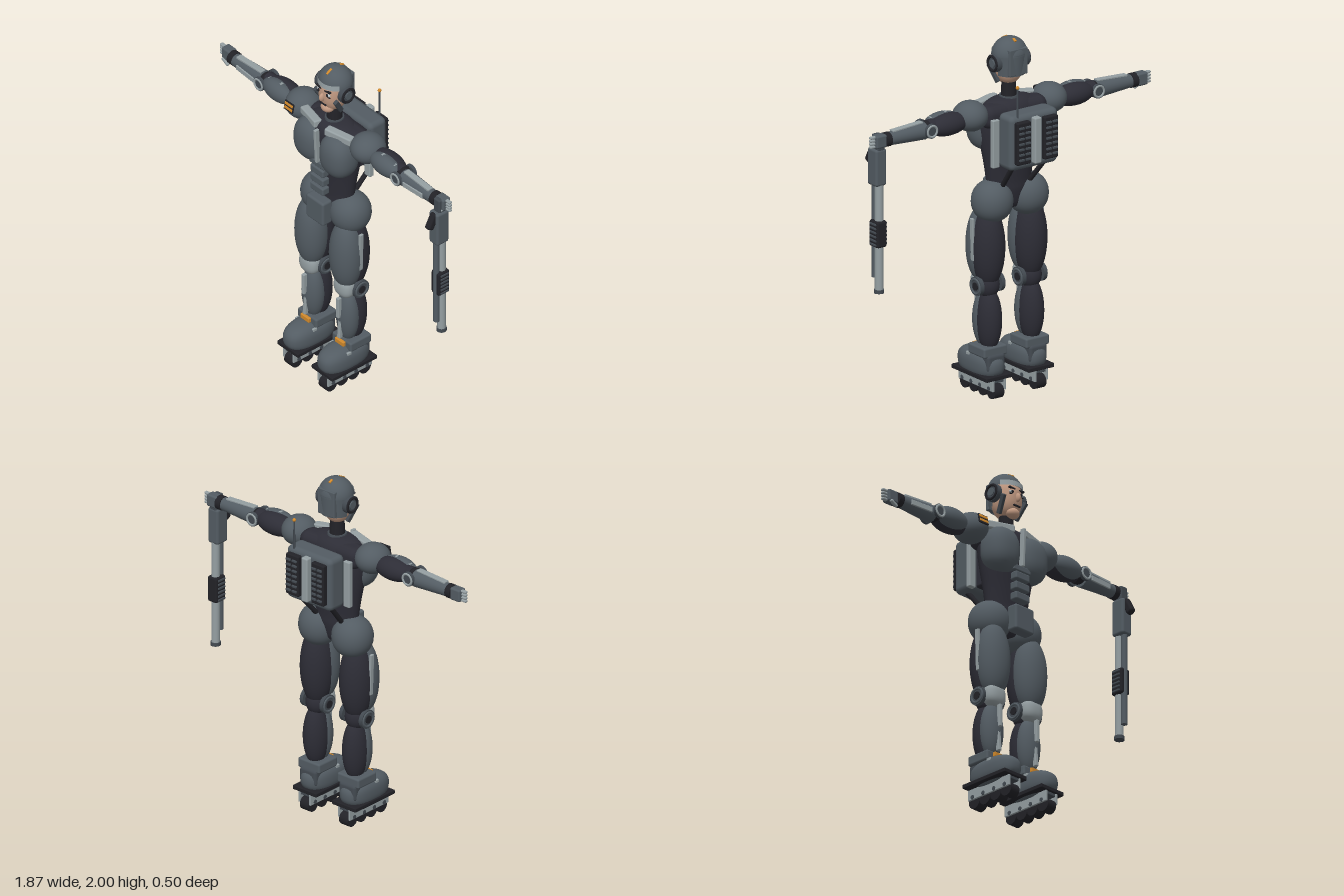
import * as THREE from 'three';
import { mergeVertices } from 'three/addons/utils/BufferGeometryUtils.js';
import { RoundedBoxGeometry } from 'three/addons/geometries/RoundedBoxGeometry.js';

const mat = (name, color, side = THREE.FrontSide) => {
  const m = new THREE.MeshStandardMaterial({ color, side });
  m.name = name;
  return m;
};

export function createModel() {
  const root = new THREE.Group();
  root.name = 'armouredSkater';
  const armour = mat('armour grey', 0x535c63, THREE.DoubleSide);
  const light = mat('light metal', 0x959fa2, THREE.DoubleSide);
  const suit = mat('dark suit', 0x2d2d36);
  const black = mat('black rubber', 0x222227);
  const joint = mat('joint grey', 0x434a51);
  const skin = mat('skin', 0xc29a82);
  const orange = mat('orange', 0xd28a2c);
  const eyeWhite = mat('eye white', 0xb9c4c8);

  // Helpers: placed mesh, rounded box, superellipsoid, cylinder along an axis, rod between points
  const add = (name, geo, m, x = 0, y = 0, z = 0, rx = 0, ry = 0, rz = 0) => {
    const mesh = new THREE.Mesh(geo, m);
    mesh.name = name;
    mesh.position.set(x, y, z);
    mesh.rotation.set(rx, ry, rz);
    root.add(mesh);
    return mesh;
  };
  const box = (name, m, w, h, d, x, y, z, rx = 0, ry = 0, rz = 0, r = 0.2) =>
    add(name, new RoundedBoxGeometry(w, h, d, 2, Math.min(w, h, d) * r), m, x, y, z, rx, ry, rz);
  const ell = (name, m, a, b, c, x, y, z, p = 2, rz = 0) => {
    let g = new THREE.SphereGeometry(1, 32, 22);
    g.deleteAttribute('uv');
    g.deleteAttribute('normal');
    g = mergeVertices(g, 1e-4);
    const q = g.attributes.position, v = new THREE.Vector3();
    for (let i = 0; i < q.count; i++) {
      v.fromBufferAttribute(q, i);
      const k = (Math.abs(v.x) ** p + Math.abs(v.y) ** p + Math.abs(v.z) ** p) ** (-1 / p);
      q.setXYZ(i, v.x * k * a, v.y * k * b, v.z * k * c);
    }
    g.computeVertexNormals();
    return add(name, g, m, x, y, z, 0, 0, rz);
  };
  const cyl = (name, m, r1, r2, h, x, y, z, axis = 'y', n = 24) => {
    const g = new THREE.CylinderGeometry(r1, r2, h, n);
    if (axis === 'x') g.rotateZ(-Math.PI / 2);
    if (axis === 'z') g.rotateX(Math.PI / 2);
    return add(name, g, m, x, y, z);
  };
  const rod = (name, m, r, a, b) => {
    const p = new THREE.Vector3(...a), q = new THREE.Vector3(...b), d = q.clone().sub(p);
    const mesh = cyl(name, m, r, r, d.length(), ...p.clone().add(q).multiplyScalar(0.5).toArray(), 'y', 12);
    mesh.quaternion.setFromUnitVectors(new THREE.Vector3(0, 1, 0), d.normalize());
  };

  // Torso: a lathe flattened front to back
  const profile = [[0, 1.04], [0.09, 1.05], [0.135, 1.14], [0.14, 1.2], [0.155, 1.3], [0.175, 1.4],
    [0.19, 1.5], [0.19, 1.58], [0.165, 1.63], [0.1, 1.66], [0, 1.665]];
  const torso = add('torso', new THREE.LatheGeometry(
    new THREE.SplineCurve(profile.map(p => new THREE.Vector2(...p))).getPoints(36)
      .map(p => new THREE.Vector2(Math.max(p.x, 0), p.y)), 36), suit, 0, 0, 0.03);
  torso.scale.z = 0.56;
  box('shoulderYoke', suit, 0.42, 0.13, 0.13, 0, 1.585, 0.0, 0, 0, 0, 0.4);
  cyl('neck', black, 0.038, 0.045, 0.14, 0, 1.695, 0.03);
  cyl('neckRing', joint, 0.052, 0.06, 0.03, 0, 1.655, 0.03);
  box('sternumStrip', light, 0.018, 0.22, 0.03, 0, 1.53, 0.155, 0.05);
  [1.36, 1.3, 1.24].forEach(y => box('abdomenPlate', armour, 0.105, 0.046, 0.05, 0, y, 0.135));
  box('abdomenTop', armour, 0.13, 0.035, 0.05, 0, 1.405, 0.13);
  box('groinPlate', armour, 0.14, 0.15, 0.07, 0, 1.105, 0.14);

  // Head: face, helmet shell and its fittings
  ell('face', skin, 0.076, 0.115, 0.083, 0, 1.85, 0.035, 2.3);
  ell('chin', skin, 0.04, 0.03, 0.035, 0, 1.757, 0.08);
  ell('nose', skin, 0.013, 0.026, 0.02, 0, 1.838, 0.118);
  box('mouth', black, 0.05, 0.009, 0.008, 0, 1.792, 0.112);
  const dome = add('helmetDome', new THREE.SphereGeometry(1, 32, 12, 0, Math.PI * 2, 0, Math.PI / 2), armour, 0, 1.905, 0.022);
  dome.scale.set(0.098, 0.095, 0.093);
  add('helmetBack', new THREE.CylinderGeometry(0.093, 0.085, 0.12, 24, 1, true, Math.PI - 1.45, 2.9), armour, 0, 1.855, 0.022);
  box('helmetBackPlate', armour, 0.12, 0.15, 0.025, 0, 1.875, -0.05);
  add('helmetBrim', new THREE.CylinderGeometry(0.097, 0.1, 0.03, 24, 1, true, -1.05, 2.1), light, 0, 1.918, 0.02);
  box('crestFront', orange, 0.014, 0.008, 0.04, 0, 1.985, 0.068, 0.5);
  box('crestBack', orange, 0.014, 0.008, 0.025, 0, 1.99, -0.022, -0.45);

  // Backpack with vents, spine and antenna
  box('backpack', armour, 0.32, 0.31, 0.125, 0, 1.475, -0.145, 0, 0, 0, 0.25);
  box('packMount', suit, 0.22, 0.26, 0.06, 0, 1.47, -0.07);
  box('packSpine', light, 0.045, 0.26, 0.05, 0, 1.48, -0.215);
  cyl('antenna', joint, 0.005, 0.006, 0.19, 0.108, 1.69, -0.195, 'y', 8);
  ell('antennaTip', orange, 0.01, 0.01, 0.01, 0.108, 1.788, -0.195);

  for (const s of [-1, 1]) {
    // Chest and hips
    ell('chestPlate', armour, 0.106, 0.13, 0.095, s * 0.105, 1.5, 0.09, 2.4);
    box('collarBar', light, 0.17, 0.045, 0.05, s * 0.115, 1.632, 0.095, 0, s * 0.25, s * -0.05);
    ell('hip', armour, 0.113, 0.118, 0.112, s * 0.118, 1.095, 0.02, 2.1);
    box('backStrap', light, 0.045, 0.27, 0.03, s * 0.165, 1.45, -0.07);
    box('vent', black, 0.09, 0.24, 0.04, s * 0.09, 1.48, -0.215);
    for (let i = 0; i < 7; i++) for (const k of [-1, 1])
      box('ventRib', joint, 0.032, 0.012, 0.014, s * 0.09 + k * 0.021, 1.39 + i * 0.03, -0.238);
    rod('packStrut', black, 0.014, [s * 0.11, 1.35, -0.17], [s * 0.09, 1.18, -0.03]);

    // Face details and ear covers
    ell('eye', eyeWhite, 0.019, 0.009, 0.008, s * 0.034, 1.866, 0.107);
    ell('pupil', black, 0.008, 0.009, 0.005, s * 0.034, 1.866, 0.113);
    box('brow', black, 0.044, 0.01, 0.014, s * 0.034, 1.888, 0.108, 0, 0, s * 0.1);
    box('lowerLid', black, 0.036, 0.005, 0.008, s * 0.034, 1.853, 0.108);
    cyl('earCover', joint, 0.05, 0.05, 0.03, s * 0.094, 1.865, 0.028, 'x');
    add('earRing', new THREE.TorusGeometry(0.04, 0.008, 8, 24), black, s * 0.109, 1.865, 0.028, 0, Math.PI / 2);
    cyl('earHub', armour, 0.022, 0.022, 0.014, s * 0.108, 1.865, 0.028, 'x');
    box('jawStrap', joint, 0.02, 0.11, 0.028, s * 0.074, 1.795, 0.068, 0.55, 0, s * -0.18);

    // Shoulder and upper arm
    ell('shoulder', armour, 0.096, 0.084, 0.1, s * 0.262, 1.603, 0.022);
    cyl('upperArmCore', suit, 0.045, 0.045, 0.34, s * 0.38, 1.593, 0.02, 'x');
    ell('upperArm', suit, 0.13, 0.062, 0.068, s * 0.42, 1.59, 0.015);
    ell('upperArmPlate', armour, 0.115, 0.06, 0.055, s * 0.435, 1.596, 0.047);
    box('upperArmStrip', light, 0.11, 0.014, 0.022, s * 0.46, 1.642, 0.045, 0, 0, s * -0.15);

    // Elbow and forearm
    ell('elbow', black, 0.04, 0.045, 0.05, s * 0.553, 1.588, 0.025);
    for (const z of [-0.025, 0.078]) {
      cyl('elbowDisc', joint, 0.04, 0.04, 0.018, s * 0.555, 1.588, z, 'z');
      add('elbowRing', new THREE.TorusGeometry(0.031, 0.007, 8, 24), light, s * 0.555, 1.588, z + Math.sign(z) * 0.008);
    }
    const fore = cyl('forearm', armour, 0.036, 0.05, 0.24, s * 0.69, 1.582, 0.027, 'x');
    if (s < 0) fore.rotation.y = Math.PI;
    box('forearmTopPlate', light, 0.2, 0.016, 0.035, s * 0.68, 1.623, 0.03, 0, 0, s * -0.055);
    box('forearmFrontPlate', light, 0.15, 0.03, 0.016, s * 0.68, 1.58, 0.067, 0, s * 0.06);
    cyl('wristCuff', black, 0.04, 0.04, 0.035, s * 0.82, 1.583, 0.025, 'x');

    // Hand with fingers and thumb
    box('palm', armour, 0.07, 0.072, 0.055, s * 0.868, 1.585, 0.02);
    for (let i = 0; i < 4; i++)
      box('finger', light, 0.042, 0.014, 0.022, s * 0.912, 1.559 + i * 0.0175, 0.02, 0, 0, 0, 0.4);
    box('thumb', light, 0.055, 0.018, 0.02, s * 0.868, 1.542, 0.045, 0, 0, s * 0.5, 0.4);

    // Thigh and knee
    const x = s * 0.14;
    ell('thigh', suit, 0.092, 0.235, 0.098, x, 0.84, 0.028);
    ell('thighPlate', armour, 0.097, 0.22, 0.088, x, 0.845, 0.07, 2.1);
    box('thighStripe', light, 0.016, 0.24, 0.025, s * 0.229, 0.89, 0.045, 0, 0, s * -0.03);
    ell('kneeCore', suit, 0.062, 0.075, 0.062, x, 0.625, 0.025);
    ell('kneePad', light, 0.066, 0.068, 0.05, x, 0.635, 0.078, 2.5);
    for (const k of [-1, 1]) {
      cyl('kneeDisc', joint, 0.053, 0.053, 0.022, x + k * 0.07, 0.627, 0.03, 'x');
      add('kneeRing', new THREE.TorusGeometry(0.04, 0.007, 8, 24), armour, x + k * 0.08, 0.627, 0.03, 0, Math.PI / 2);
      cyl('kneeHub', black, 0.022, 0.022, 0.012, x + k * 0.08, 0.627, 0.03, 'x');
    }

    // Shin
    ell('calf', suit, 0.067, 0.18, 0.078, x, 0.43, 0.018);
    ell('shinPlate', armour, 0.069, 0.165, 0.062, x, 0.43, 0.058);
    box('shinRidgeUpper', light, 0.022, 0.13, 0.025, x, 0.505, 0.123);
    box('shinRidgeLower', light, 0.022, 0.14, 0.025, x, 0.37, 0.11, -0.08);

    // Boot
    box('bootCuff', armour, 0.155, 0.058, 0.15, x, 0.262, 0.03);
    box('bootBuckle', orange, 0.07, 0.028, 0.02, x, 0.27, 0.112);
    ell('boot', armour, 0.083, 0.082, 0.16, x, 0.175, 0.09, 2.6);
    box('ankle', joint, 0.12, 0.1, 0.13, x, 0.2, 0.01);
    box('bootStrap', light, 0.15, 0.02, 0.03, x, 0.227, 0.11);
    box('sole', black, 0.17, 0.024, 0.32, x, 0.122, 0.083);

    // Inline skate frame and wheels
    for (const k of [-1, 1]) box('skateFrame', light, 0.012, 0.062, 0.312, x + k * 0.038, 0.08, 0.08);
    box('skateBridge', joint, 0.07, 0.02, 0.3, x, 0.103, 0.08);
    for (let i = 0; i < 4; i++) {
      const z = 0.2 - i * 0.08;
      cyl('wheel', black, 0.039, 0.039, 0.062, x, 0.039, z, 'x');
      cyl('axle', joint, 0.012, 0.012, 0.094, x, 0.062, z, 'x', 12);
    }
  }

  // Shoulder badge on the right arm
  box('badge', black, 0.07, 0.055, 0.008, -0.265, 1.622, 0.121, -0.2);
  [1.636, 1.612].forEach((y, i) => box('badgeBar', orange, 0.062, 0.015, 0.008, -0.265, y, 0.122 + i * 0.004, -0.2));

  // Long gun hanging from the left hand
  const gx = 0.865;
  box('gunReceiver', armour, 0.072, 0.21, 0.085, gx, 1.435, 0.045);
  box('gunStock', joint, 0.05, 0.12, 0.06, gx, 1.56, 0.035);
  box('gunGrip', black, 0.04, 0.1, 0.045, gx, 1.49, 0.095, -0.5, 0, 0, 0.35);
  cyl('gunBarrel', light, 0.023, 0.023, 0.63, gx, 1.045, 0.027);
  cyl('gunMuzzle', joint, 0.028, 0.028, 0.02, gx, 0.735, 0.027);
  cyl('gunTube', armour, 0.017, 0.017, 0.53, gx, 1.07, 0.064);
  box('gunForegrip', black, 0.066, 0.15, 0.08, gx, 1.06, 0.035);
  for (let i = 0; i < 6; i++) box('foregripRib', joint, 0.078, 0.011, 0.055, gx, 1.002 + i * 0.023, 0.035);
  return root;
}
